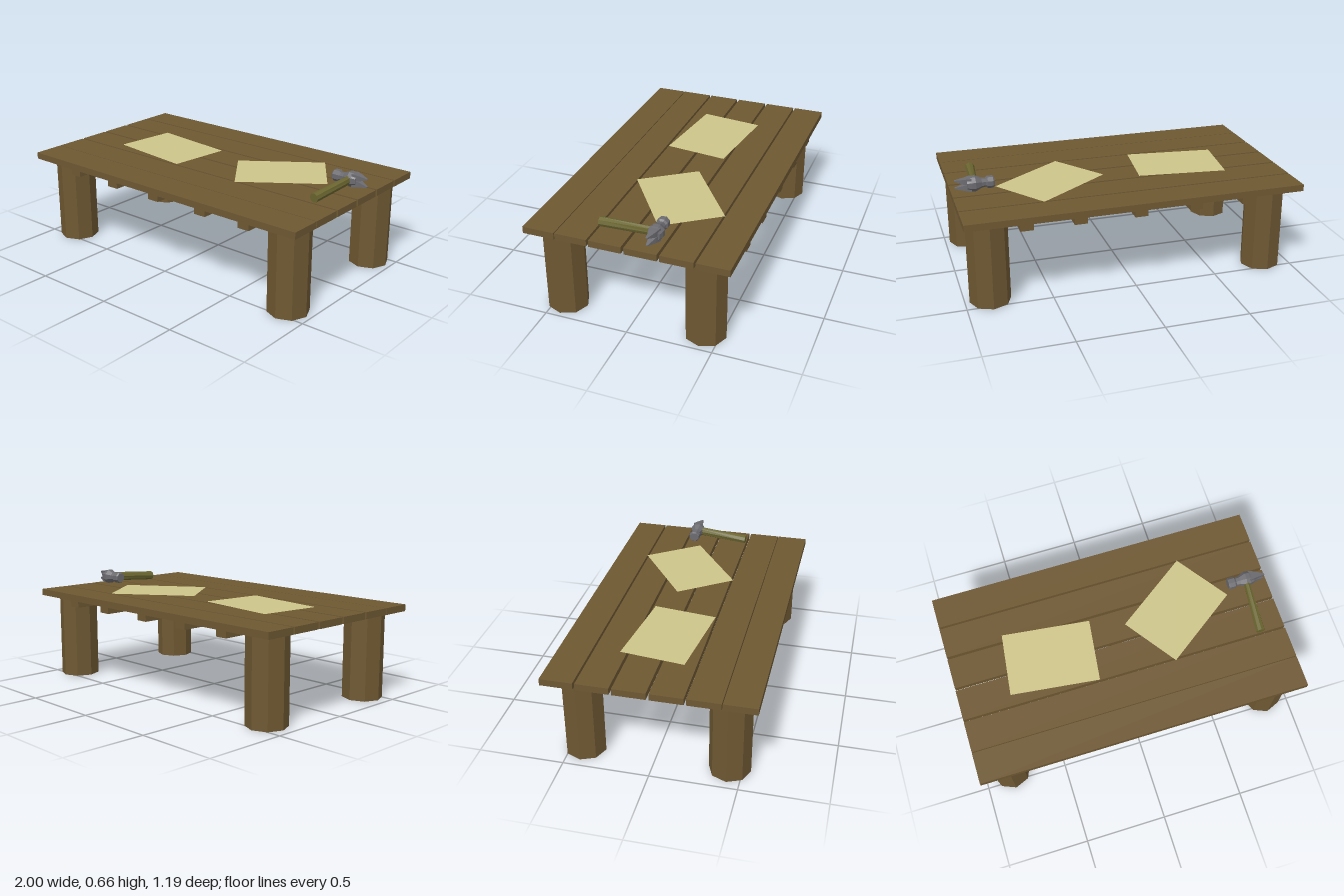
import * as THREE from 'three';

const mat = (color, extra = {}) => new THREE.MeshStandardMaterial({ color, flatShading: true, ...extra });

export function createModel() {
  const model = new THREE.Group();
  const wood = mat(0x6e5832);
  const paper = mat(0xcdc48a, { side: THREE.DoubleSide });
  const handleWood = mat(0x6b6630);
  const steel = mat(0x6b6b70);

  const add = (parent, name, geometry, material, x = 0, y = 0, z = 0) => {
    const mesh = new THREE.Mesh(geometry, material);
    mesh.name = name;
    mesh.position.set(x, y, z);
    parent.add(mesh);
    return mesh;
  };

  // Table top planks, with narrow uneven gaps between them
  for (const z of [-0.5, -0.3, -0.097, 0.107, 0.308, 0.501])
    add(model, 'plank', new THREE.BoxGeometry(2, 0.04, 0.188), wood, 0, 0.54, z);

  // Cross slats under the planks
  for (const x of [-0.653, -0.332, 0, 0.352, 0.657])
    add(model, 'slat', new THREE.BoxGeometry(0.075, 0.04, 1.17), wood, x, 0.5, 0);

  // Eight-sided legs
  for (const x of [-0.832, 0.853])
    for (const z of [-0.416, 0.426])
      add(model, 'leg', new THREE.CylinderGeometry(0.12, 0.12, 0.51, 8), wood, x, 0.255, z);

  // Paper sheets lying on the top
  for (const [x, z, turn] of [[-0.408, -0.023, -0.122], [0.41, -0.094, 0.62]]) {
    const sheet = new THREE.PlaneGeometry(0.535, 0.382).rotateX(-Math.PI / 2);
    add(model, 'paperSheet', sheet, paper, x, 0.562, z).rotation.y = turn;
  }

  // Hammer lying on its side
  const hammer = new THREE.Group();
  hammer.name = 'hammer';
  model.add(hammer);

  // Handle: from the grip end to the head, narrowing sideways
  const grip = new THREE.Vector3(0.842, 0.59, 0.2);
  const top = new THREE.Vector3(0.868, 0.613, -0.15);
  const handle = new THREE.CylinderGeometry(0.028, 0.028, grip.distanceTo(top), 8);
  const hp = handle.attributes.position;
  for (let i = 0; i < hp.count; i++)
    if (hp.getY(i) > 0) hp.setX(i, hp.getX(i) * 0.65);
  const handleMesh = add(hammer, 'hammerHandle', handle, handleWood);
  handleMesh.position.copy(grip).add(top).multiplyScalar(0.5);
  handleMesh.quaternion.setFromUnitVectors(new THREE.Vector3(0, 1, 0), top.clone().sub(grip).normalize());

  const head = new THREE.Group();
  head.name = 'hammerHead';
  head.position.set(0.866, 0.613, -0.14);
  hammer.add(head);

  // Striking face, neck and cheek, turned about the x axis
  const profile = [[0, -0.114], [0.03, -0.114], [0.036, -0.106], [0.036, -0.074], [0.026, -0.064],
    [0.03, -0.04], [0.047, -0.004], [0.045, 0.02], [0.036, 0.045], [0, 0.045]]
    .map(([r, x]) => new THREE.Vector2(r, x));
  const body = new THREE.LatheGeometry(profile, 8, Math.PI / 8).rotateZ(-Math.PI / 2);
  add(head, 'headBody', body, steel);

  // Split claw: two tapering prongs, bent slightly toward the handle
  // Each section: x, inner y, outer y, half depth, shift in z
  const sections = [[0.02, 0, 0.04, 0.032, 0], [0.06, 0.002, 0.034, 0.02, 0.002], [0.113, 0.02, 0.025, 0.005, 0.012]];
  const claw = new THREE.BoxGeometry(2, 2, 2, 2, 1, 1);
  const cp = claw.attributes.position;
  for (let i = 0; i < cp.count; i++) {
    const [x, inner, outer, depth, shift] = sections[Math.round(cp.getX(i)) + 1];
    cp.setXYZ(i, x, cp.getY(i) > 0 ? outer : inner, shift + cp.getZ(i) * depth);
  }
  for (const side of [-1, 1])
    add(head, 'claw', claw, steel).scale.y = side;

  return model;
}
